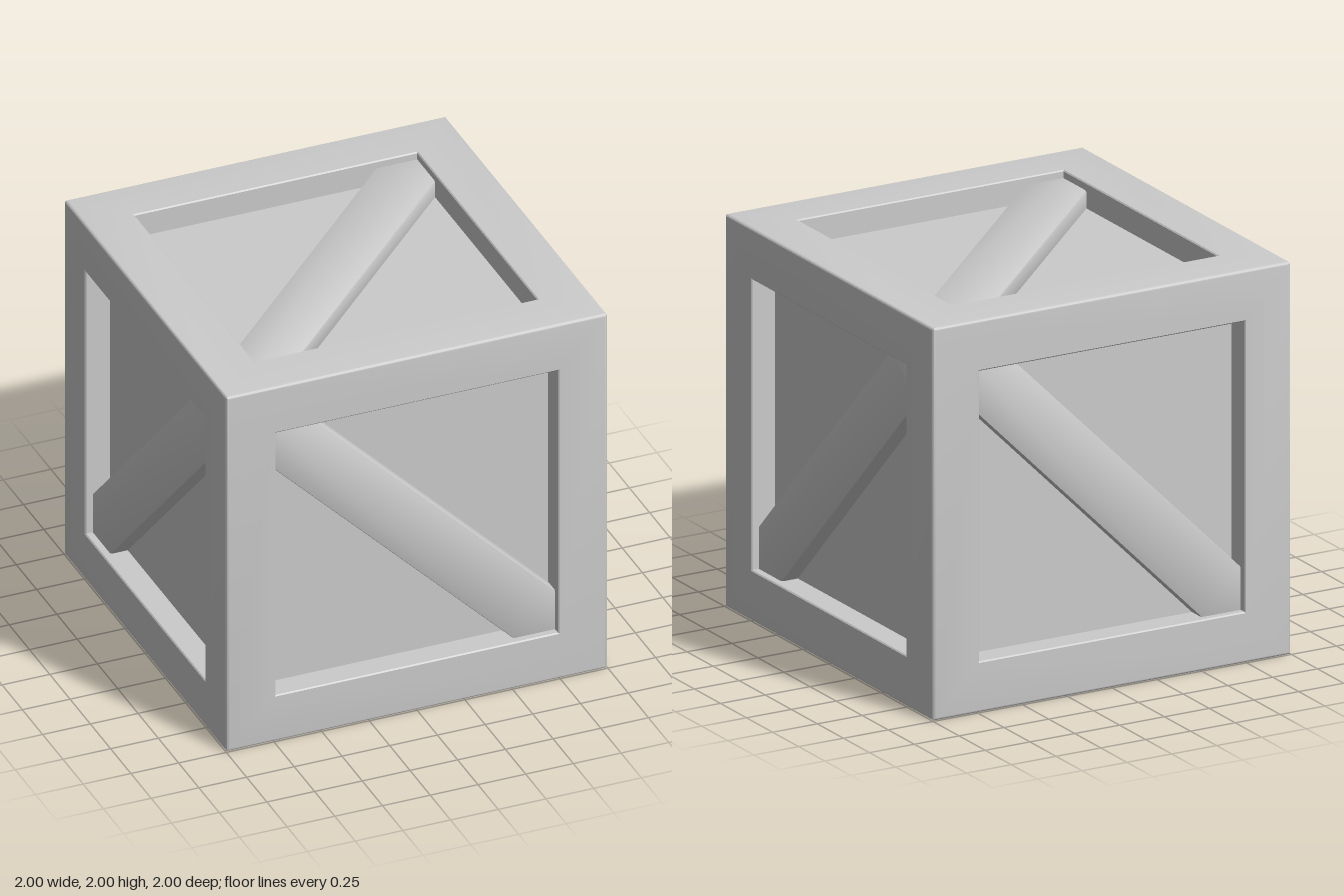
import * as THREE from 'three';
import { mergeGeometries, toCreasedNormals } from 'three/addons/utils/BufferGeometryUtils.js';

const OPENING = 0.74;  // half size of each recessed window
const PANEL = 0.87;    // distance of the panels from the centre
const BRACE = 0.96;    // distance of the brace faces from the centre
const BAND = 0.22;     // half width of a brace, measured along an edge

// Square ring swept from a profile of [half size, distance from centre]
function squareRing(profile) {
  const corners = [[-1, -1], [1, -1], [1, 1], [-1, 1]];
  const at = ([s, d], i) => [corners[i % 4][0] * s, corners[i % 4][1] * s, d];
  const positions = [];
  for (let k = 0; k < profile.length - 1; k++) {
    for (let i = 0; i < 4; i++) {
      const a = at(profile[k], i), b = at(profile[k + 1], i);
      const c = at(profile[k + 1], i + 1), d = at(profile[k], i + 1);
      positions.push(...a, ...b, ...c, ...a, ...c, ...d);
    }
  }
  const geometry = new THREE.BufferGeometry();
  geometry.setAttribute('position', new THREE.Float32BufferAttribute(positions, 3));
  return geometry;
}

// One side of the frame: inner wall, softened lip, flat face, half of the rounded outer edge
function frameSide() {
  const r = 0.016;
  const profile = [[OPENING, PANEL - 0.01], [OPENING, 0.994], [OPENING + 0.006, 1]];
  for (let i = 0; i <= 2; i++) {
    const a = (i / 2) * Math.PI / 4;
    profile.push([1 - r + r * Math.sin(a), 1 - r + r * Math.cos(a)]);
  }
  return squareRing(profile);
}

// Diagonal plank from upper left to lower right, its ends cut to fit the window corners
function braceGeometry() {
  const bevel = 0.01, w = OPENING + bevel, c = BAND;
  const shape = new THREE.Shape([
    [-w, w], [-w, w - c], [w - c, -w], [w, -w], [w, c - w], [c - w, w],
  ].map(([x, y]) => new THREE.Vector2(x, y)));
  const geometry = new THREE.ExtrudeGeometry(shape, {
    depth: BRACE - PANEL, bevelSize: bevel, bevelThickness: bevel,
    bevelOffset: -bevel, bevelSegments: 2,
  });
  geometry.translate(0, 0, PANEL - bevel);
  return toCreasedNormals(geometry, 0.7);
}

export function createModel() {
  const crate = new THREE.Group();
  crate.name = 'crate';
  const material = new THREE.MeshStandardMaterial({ color: 0xcccccc });
  const add = (name, geometry) => {
    const mesh = new THREE.Mesh(geometry, material);
    mesh.name = name;
    crate.add(mesh);
    return mesh;
  };

  // Rotation about x and y for each side, and whether its brace takes the other diagonal
  const h = Math.PI / 2;
  const sides = [
    ['front', 0, 0, false], ['back', 0, 2 * h, false],
    ['left', 0, h, true], ['right', 0, -h, true],
    ['top', -h, 0, true], ['bottom', h, 0, true],
  ];

  // Recessed panels on all six sides
  add('panels', new THREE.BoxGeometry(2 * PANEL, 2 * PANEL, 2 * PANEL));

  // Frame and braces
  const brace = braceGeometry();
  const rings = [];
  for (const [name, rx, ry, flip] of sides) {
    rings.push(frameSide().rotateX(rx).rotateY(ry));
    add(name + 'Brace', brace).rotation.set(rx, ry, flip ? h : 0);
  }
  add('frame', toCreasedNormals(mergeGeometries(rings), 0.7));

  // Stand the crate on the ground
  for (const part of crate.children) part.position.y = 1;
  return crate;
}
